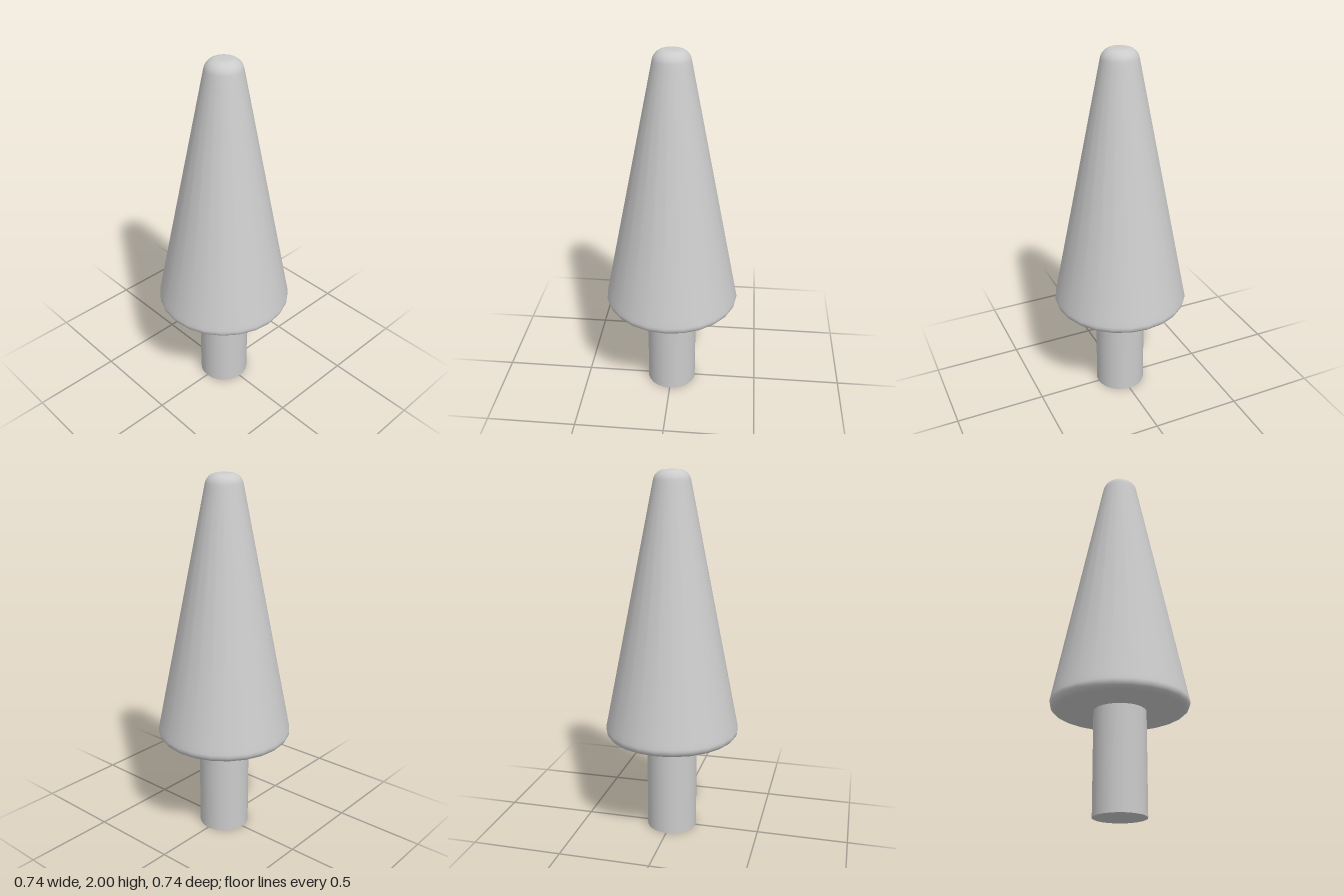
import * as THREE from 'three';

const SIDES = 24;
const SLOPE = Math.atan(0.2); // lean of the cone wall from vertical

// Profile points along an arc between two angles
function arc(cx, cy, r, from, to, steps) {
  return Array.from({ length: steps + 1 }, (_, i) => {
    const a = from + ((to - from) * i) / steps;
    return new THREE.Vector2(cx + r * Math.cos(a), cy + r * Math.sin(a));
  });
}

export function createModel() {
  const group = new THREE.Group();
  group.name = 'coneTree';
  const material = new THREE.MeshStandardMaterial({ color: 0xcccccc });

  // Foliage: cone with a rounded lower rim and a rounded, flat-topped tip
  const rim = arc(0.33, 0.59, 0.04, -Math.PI / 2, SLOPE, 6);
  const tip = arc(0.035, 1.935, 0.065, SLOPE, Math.PI / 2, 7);
  const wallLow = rim.at(-1).clone().lerp(tip[0], 0.02);
  const wallHigh = rim.at(-1).clone().lerp(tip[0], 0.98);
  const profile = [
    new THREE.Vector2(0, 0.55),
    new THREE.Vector2(0.32, 0.55),
    ...rim, wallLow, wallHigh, ...tip,
    new THREE.Vector2(0, 2),
  ];
  const foliage = new THREE.Mesh(new THREE.LatheGeometry(profile, SIDES), material);
  foliage.name = 'foliage';
  group.add(foliage);

  // Trunk: plain cylinder reaching just inside the foliage
  const trunk = new THREE.Mesh(new THREE.CylinderGeometry(0.14, 0.14, 0.57, SIDES), material);
  trunk.name = 'trunk';
  trunk.position.y = 0.285;
  group.add(trunk);

  return group;
}
